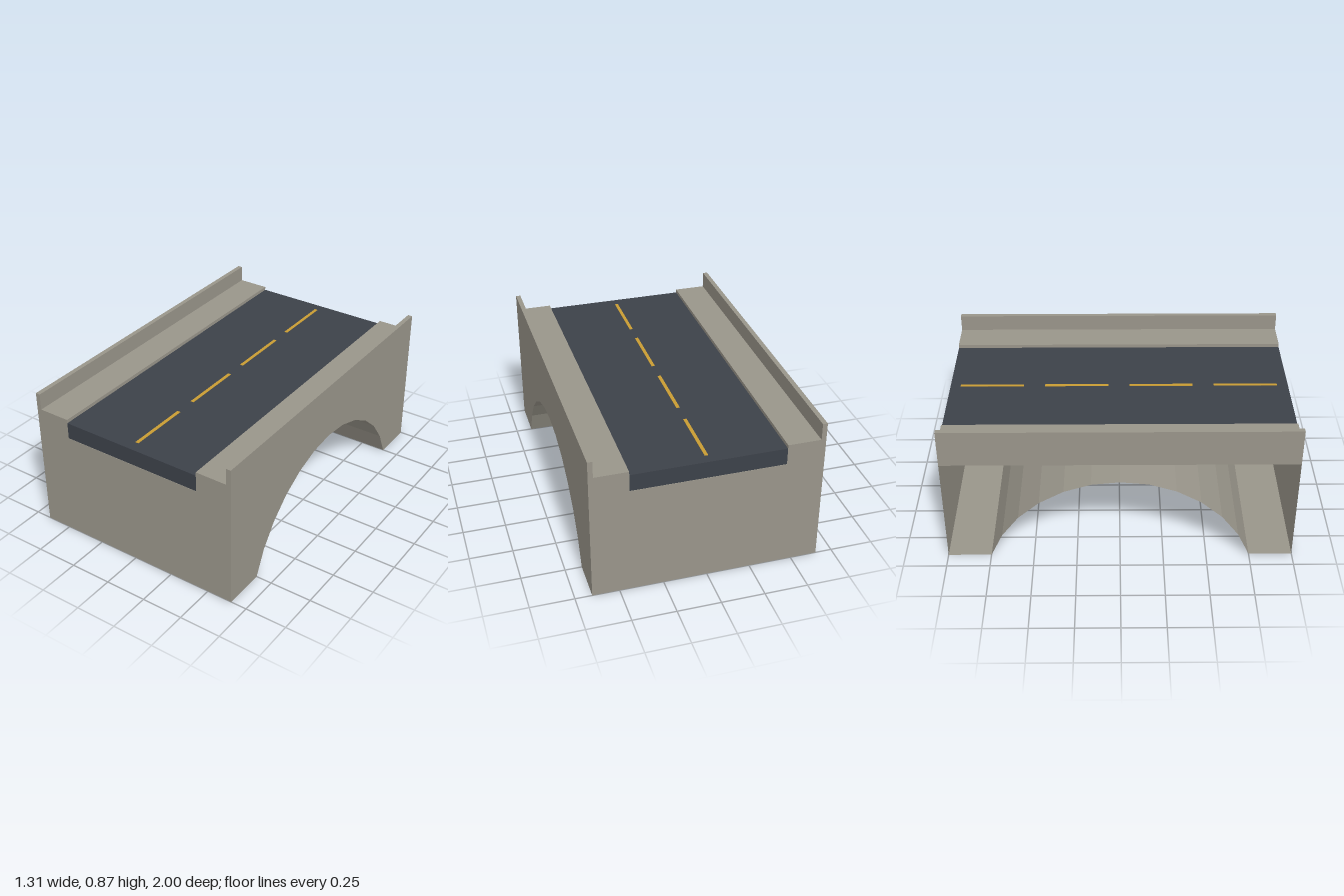
import * as THREE from 'three';

const HALF_W = 0.654, HALF_L = 1, DECK = 0.65;

export function createModel() {
  const bridge = new THREE.Group();
  bridge.name = 'bridge';

  const concrete = new THREE.MeshStandardMaterial({ color: 0x99958a, side: THREE.DoubleSide });
  concrete.name = 'concrete';
  const asphalt = new THREE.MeshStandardMaterial({ color: 0x3c4149 });
  asphalt.name = 'asphalt';
  const paint = new THREE.MeshStandardMaterial({ color: 0xc89c33 });
  paint.name = 'yellow paint';

  const add = (name, geometry, material) => {
    const mesh = new THREE.Mesh(geometry, material);
    mesh.name = name;
    bridge.add(mesh);
    return mesh;
  };

  // Side profile of the body, with a twelve-sided arch cut from below
  const radius = 0.795, centreY = -0.265, segments = 12;
  const start = Math.asin(-centreY / radius);
  const profile = [new THREE.Vector2(-HALF_L, 0)];
  for (let i = 0; i <= segments; i++) {
    const a = Math.PI - start - (i / segments) * (Math.PI - 2 * start);
    profile.push(new THREE.Vector2(radius * Math.cos(a), centreY + radius * Math.sin(a)));
  }
  profile.push(
    new THREE.Vector2(HALF_L, 0),
    new THREE.Vector2(HALF_L, DECK),
    new THREE.Vector2(-HALF_L, DECK),
  );

  // Shell swept across the width: end walls, footings, arch vault and deck
  const positions = [];
  profile.forEach((p, i) => {
    const q = profile[(i + 1) % profile.length];
    const a = [p.x, p.y, HALF_W], b = [p.x, p.y, -HALF_W];
    const c = [q.x, q.y, -HALF_W], d = [q.x, q.y, HALF_W];
    positions.push(...a, ...b, ...c, ...a, ...c, ...d);
  });
  const shell = new THREE.BufferGeometry();
  shell.setAttribute('position', new THREE.Float32BufferAttribute(positions, 3));
  shell.rotateY(Math.PI / 2);
  shell.computeVertexNormals();
  add('archShell', shell, concrete);

  // Spandrel wall on the left only; the right side of the shell is open
  const wall = new THREE.ShapeGeometry(new THREE.Shape(profile));
  wall.translate(0, 0, HALF_W).rotateY(Math.PI / 2);
  add('spandrelWall', wall, concrete);

  // Sidewalk and parapet in one L-shaped section, mirrored
  for (const side of [1, -1]) {
    const section = [
      [0.436, DECK], [HALF_W, DECK], [HALF_W, 0.87],
      [0.626, 0.87], [0.626, 0.772], [0.436, 0.772],
    ].map(([x, y]) => new THREE.Vector2(side * x, y));
    const kerb = new THREE.ExtrudeGeometry(new THREE.Shape(section), { depth: 2 * HALF_L, bevelEnabled: false });
    kerb.translate(0, 0, -HALF_L);
    add(side > 0 ? 'leftSidewalk' : 'rightSidewalk', kerb, concrete);
  }

  // Road slab, resting just above the deck
  add('road', new THREE.BoxGeometry(0.872, 0.099, 2 * HALF_L), asphalt).position.y = 0.7015;

  // Dashed centre line
  for (let i = 0; i < 4; i++) {
    add('laneDash', new THREE.BoxGeometry(0.02, 0.003, 0.375), paint)
      .position.set(0, 0.7515, -0.7525 + i * 0.5);
  }

  return bridge;
}
